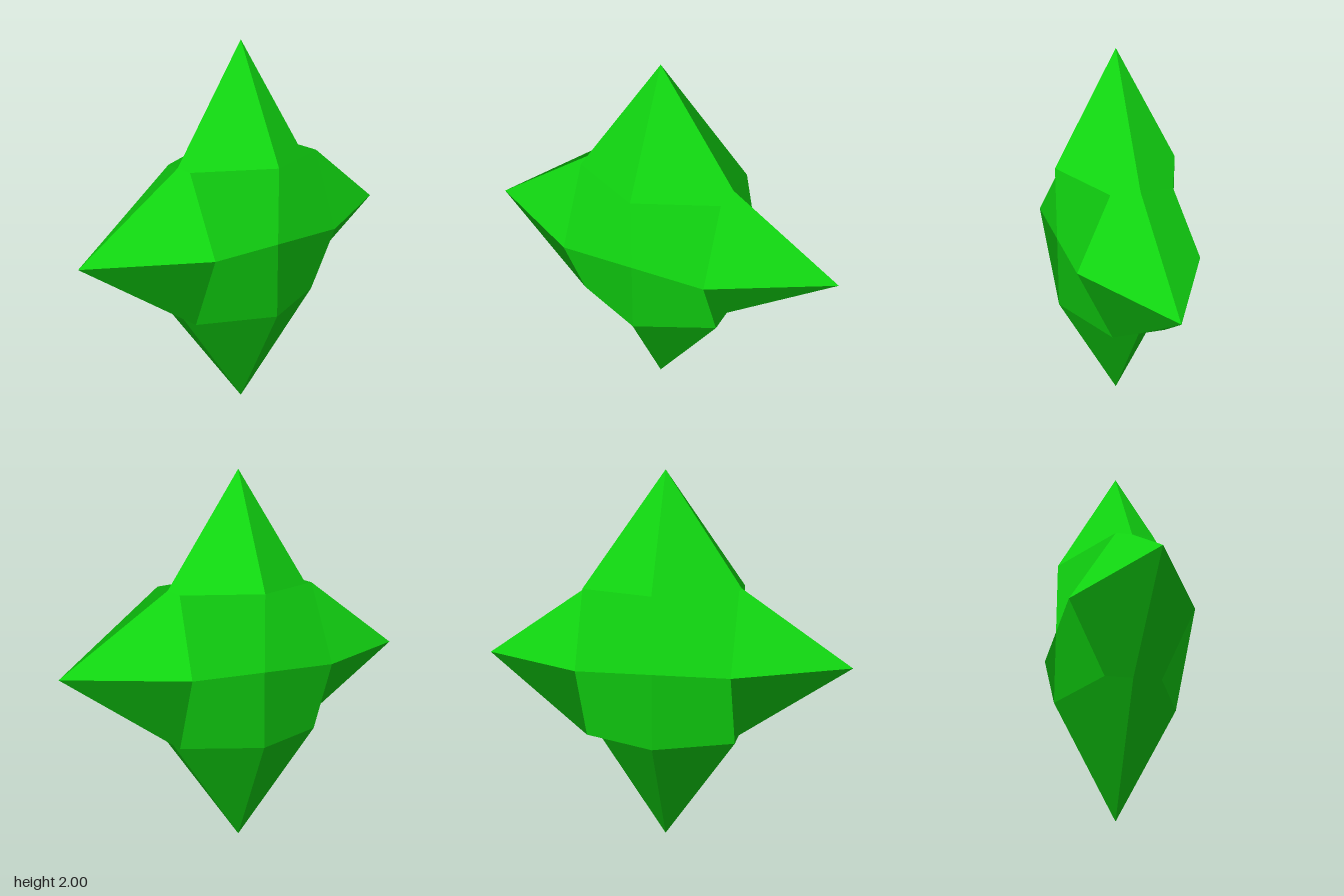
import * as THREE from 'three';

const ARM_X = 0.985, ARM_Y = 1, W = 0.4, D = 0.32, SKEW = 0.0185;
const SIGNS = [1, -1];

// Depth of the notch between two spikes, by the signs of x, y and z
const NOTCH = {
  '1,1,1': 0.15, '1,1,-1': 0.165, '-1,1,1': 0.11, '-1,1,-1': 0.085,
  '1,-1,1': 0.14, '1,-1,-1': 0.14, '-1,-1,1': 0.14, '-1,-1,-1': 0.14,
};

// Four-cornered facets with one even normal each; a facet folds along
// corners 0-2 when foldAtTip is set, otherwise along corners 1-3.
function facetMesh(name, facets, material) {
  const positions = [], normals = [];
  for (const { corners, foldAtTip } of facets) {
    // slight skew of the whole star in plan
    const p = corners.map(([x, y, z]) => new THREE.Vector3(x - SKEW * z, y + 1, z - SKEW * x));
    const n = p[2].clone().sub(p[0]).cross(p[3].clone().sub(p[1])).normalize();
    for (const i of foldAtTip ? [0, 1, 2, 0, 2, 3] : [1, 2, 3, 1, 3, 0]) {
      positions.push(...p[i].toArray());
      normals.push(...n.toArray());
    }
  }
  const geometry = new THREE.BufferGeometry();
  geometry.setAttribute('position', new THREE.Float32BufferAttribute(positions, 3));
  geometry.setAttribute('normal', new THREE.Float32BufferAttribute(normals, 3));
  const mesh = new THREE.Mesh(geometry, material);
  mesh.name = name;
  return mesh;
}

// One facet in the octant (sx, sy, sz), wound outward and starting at its tip.
// The fold direction alternates from octant to octant.
function facet(quad, sx, sy, sz, foldParity) {
  const notch = [W, W, NOTCH[[sx, sy, sz].join()]];
  const q = quad(notch).map(([x, y, z]) => [x * sx, y * sy, z * sz]);
  const parity = sx * sy * sz;
  return {
    corners: parity > 0 ? q : [q[0], q[3], q[2], q[1]],
    foldAtTip: parity === foldParity,
  };
}

// Facets of one octant, relative to the star's centre
const coreQuad = (notch) => [[0, 0, D], [W, 0, D], notch, [0, W, D]];
const verticalQuad = (notch) => [[0, ARM_Y, 0], [0, W, D], notch, [W, W, 0]];
const sideQuad = (notch) => [[ARM_X, 0, 0], [W, W, 0], notch, [W, 0, D]];

export function createModel() {
  const group = new THREE.Group();
  group.name = 'fourPointedStar';
  const green = new THREE.MeshStandardMaterial({ color: 0x11d811 });
  green.name = 'green';

  // Each direction: front or back of the core, one vertical and one side spike
  for (const s of SIGNS) {
    const core = [], vertical = [], side = [];
    for (const a of SIGNS) for (const b of SIGNS) {
      core.push(facet(coreQuad, a, b, s, -1));
      vertical.push(facet(verticalQuad, a, s, b, -1));
      side.push(facet(sideQuad, s, a, b, 1));
    }
    group.add(facetMesh(s > 0 ? 'coreFront' : 'coreBack', core, green));
    group.add(facetMesh(s > 0 ? 'upperSpike' : 'lowerSpike', vertical, green));
    group.add(facetMesh(s > 0 ? 'leftSpike' : 'rightSpike', side, green));
  }
  return group;
}
